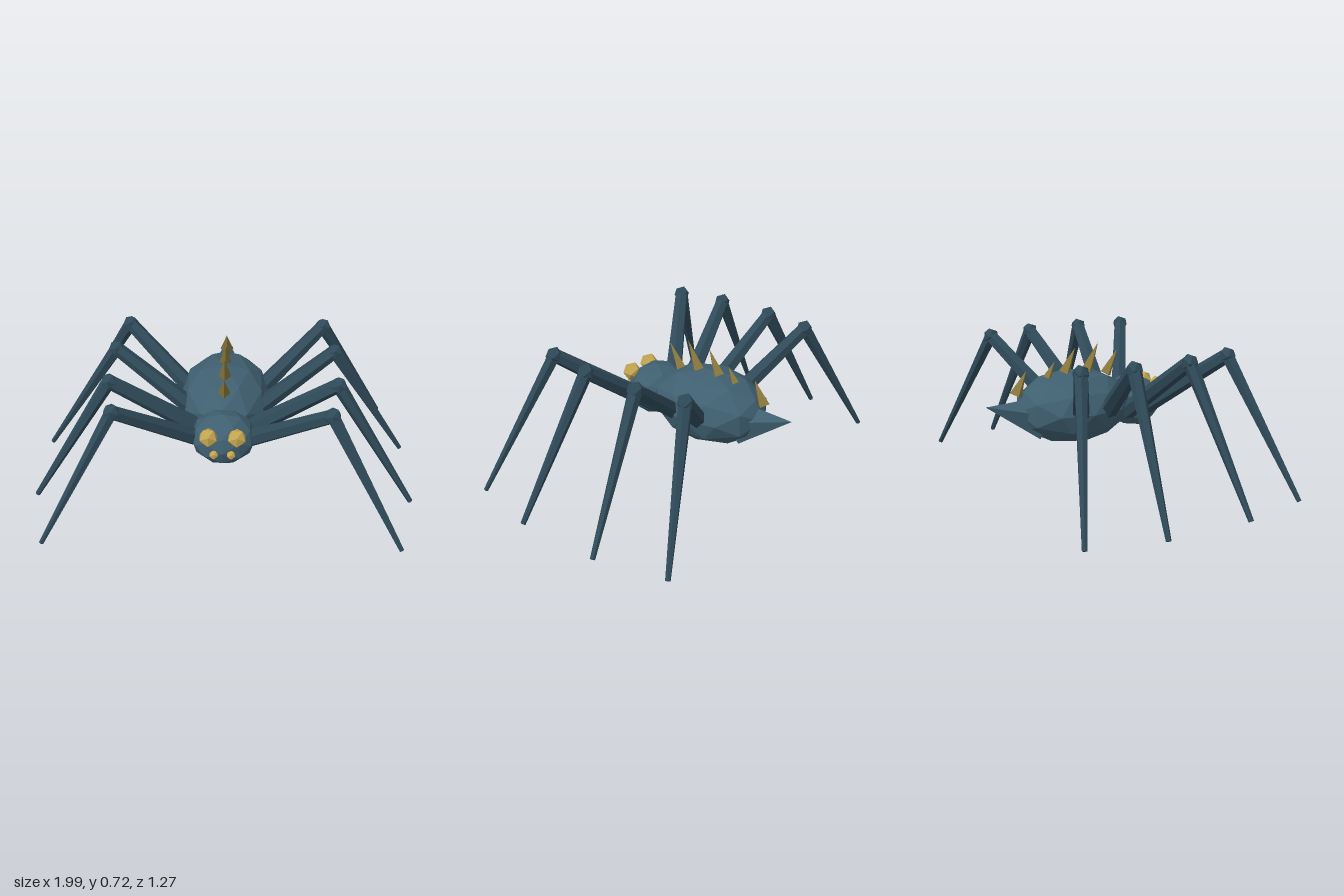
import * as THREE from 'three';

const V = (x, y, z) => new THREE.Vector3(x, y, z);
const paint = (color) => new THREE.MeshStandardMaterial({ color, flatShading: true });

export function createModel() {
  const model = new THREE.Group();
  const shell = paint(0x3f5f70);
  const limb = paint(0x2f4a59);
  const horn = paint(0x8a783c);
  const gold = paint(0xc4a650);

  // faceted ellipsoid
  const blob = (name, parent, material, pos, size, detail) => {
    const geo = new THREE.IcosahedronGeometry(1, detail).scale(...size);
    const mesh = new THREE.Mesh(geo, material);
    mesh.name = name;
    mesh.position.copy(pos);
    parent.add(mesh);
  };

  // tapered prism from a to b
  const taper = (name, parent, material, a, b, ra, rb, sides) => {
    const dir = b.clone().sub(a);
    const geo = new THREE.CylinderGeometry(rb, ra, dir.length(), sides);
    const mesh = new THREE.Mesh(geo, material);
    mesh.name = name;
    mesh.position.copy(a).add(b).multiplyScalar(0.5);
    mesh.quaternion.setFromUnitVectors(V(0, 1, 0), dir.normalize());
    parent.add(mesh);
  };

  // body
  blob('abdomen', model, shell, V(0, 0.385, -0.15), [0.24, 0.19, 0.325], 1);
  blob('head', model, shell, V(0, 0.37, 0.2), [0.168, 0.138, 0.15], 1);
  taper('stinger', model, shell, V(0, 0.34, -0.345), V(0, 0.435, -0.638), 0.118, 0, 5);

  // back spikes: base z, base y, tip z, tip y, radius
  const spikes = [
    [0.043, 0.53, 0.113, 0.655, 0.032],
    [-0.072, 0.555, -0.003, 0.7, 0.034],
    [-0.2, 0.56, -0.138, 0.685, 0.034],
    [-0.3, 0.545, -0.256, 0.625, 0.024],
    [-0.475, 0.475, -0.415, 0.595, 0.036],
  ];
  for (const [z0, y0, z1, y1, r] of spikes) {
    taper('backSpike', model, horn, V(0, y0, z0), V(0, y1, z1), r, 0, 4);
  }

  // legs: hip, knee, foot on the left side, mirrored to the right
  const legs = [
    [[0.13, 0.36, 0.2], [0.52, 0.683, 0.438], [0.895, 0.005, 0.623]],
    [[0.13, 0.35, 0.1], [0.565, 0.683, 0.182], [0.985, 0.005, 0.256]],
    [[0.19, 0.39, -0.045], [0.565, 0.683, -0.127], [0.985, 0.005, -0.2]],
    [[0.19, 0.39, -0.205], [0.52, 0.683, -0.383], [0.895, 0.005, -0.57]],
  ];
  for (const side of [1, -1]) {
    for (const points of legs) {
      const leg = new THREE.Group();
      leg.name = side > 0 ? 'leftLeg' : 'rightLeg';
      const [hip, knee, foot] = points.map(([x, y, z]) => V(side * x, y, z));
      taper('upperLeg', leg, limb, hip, knee, 0.047, 0.036, 6);
      blob('knee', leg, limb, knee, [0.044, 0.044, 0.044], 0);
      taper('lowerLeg', leg, limb, knee, foot, 0.035, 0.013, 6);
      model.add(leg);
    }
    // eyes
    blob('largeEye', model, gold, V(side * 0.071, 0.452, 0.32), [0.05, 0.05, 0.05], 0);
    blob('smallEye', model, gold, V(side * 0.043, 0.37, 0.353), [0.024, 0.024, 0.024], 0);
  }

  return model;
}
